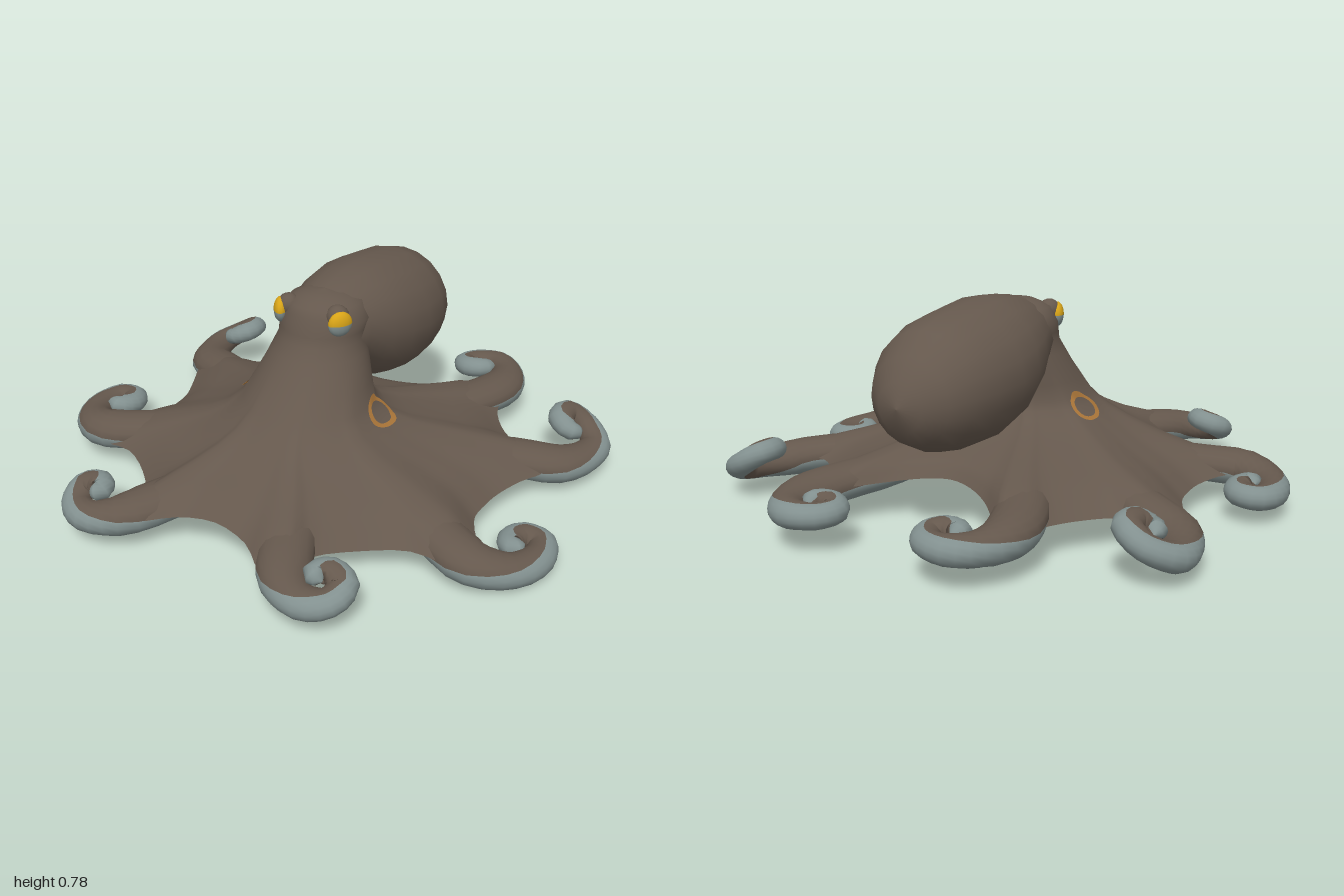
import * as THREE from 'three';

const mat = (name, color, side = THREE.FrontSide) => {
  const m = new THREE.MeshStandardMaterial({ color, side });
  m.name = name;
  return m;
};
const V = (x, y, z) => new THREE.Vector3(x, y, z);
const { lerp, smoothstep, clamp } = THREE.MathUtils;

// Skin over closed cross-sections; columns accepted by isSecond use the second material
function loft(rows, isSecond = () => false) {
  const n = rows[0].length, first = [], second = [];
  for (let i = 0; i < rows.length - 1; i++)
    for (let j = 0; j < n; j++) {
      const k = (j + 1) % n, a = i * n + j, b = i * n + k, c = a + n, d = b + n;
      (isSecond(j) ? second : first).push(a, b, d, a, d, c);
    }
  const g = new THREE.BufferGeometry().setFromPoints(rows.flat());
  g.setIndex([...first, ...second]);
  g.addGroup(0, first.length, 0);
  if (second.length) g.addGroup(first.length, second.length, 1);
  g.computeVertexNormals();
  return g;
}

// Web rim, from the front middle round the left side to the back middle, running out along each arm
const HALF = [
  [0, .145, .73], [.14, .13, .755], [.26, .12, .84], [.34, .12, .83], [.345, .11, .69], [.46, .1, .56],
  [.6, .1, .475], [.75, .09, .455], [.79, .1, .37], [.73, .1, .26], [.69, .09, .17], [.69, .09, .08],
  [.7, .09, 0], [.74, .1, -.1], [.79, .1, -.2], [.81, .11, -.3], [.72, .11, -.33], [.62, .11, -.335],
  [.53, .11, -.41], [.46, .115, -.53], [.45, .13, -.65], [.37, .135, -.68], [.29, .135, -.6],
  [.2, .14, -.5], [.1, .15, -.43], [0, .155, -.4],
];
const RIM = [...HALF, ...HALF.slice(1, -1).reverse().map(([x, y, z]) => [-x, y, z])];
const rim = new THREE.CatmullRomCurve3(RIM.map(p => V(...p)), true);

// Body levels from crown to rim: height, radius, centre z
const LEVELS = [
  [.74, 0, .04], [.73, .07, .04], [.705, .132, .035], [.65, .163, .03], [.58, .158, .055], [.49, .19, .09],
  [.37, .235, .15], [.315, .285, .16], [.275, .35, .15], [.23, .45, .12], [.183, .57, .1], [.12, .66, .1],
];

// Point on the body: u goes round the rim, v runs down the levels
function bodyPoint(u, v) {
  const i = Math.min(Math.floor(v), LEVELS.length - 2), f = v - i;
  const [y, r, cz] = LEVELS[i].map((a, k) => lerp(a, LEVELS[i + 1][k], f));
  const p = rim.getPoint(((u % 1) + 1) % 1);
  const dz = p.z - .1, len = Math.hypot(p.x, dz);
  const w = clamp((r - .2) / .46, 0, 1);
  const s = lerp(r / len, r / .66, w);
  return V(p.x * s, y + (p.y - .12) * w * w, cz + dz * s);
}

// Arm paths on the left side: x, height, z
const ARMS = {
  frontArm: [[.1, .15, .36], [.18, .135, .52], [.26, .12, .69], [.345, .105, .83], [.44, .1, .875], [.515, .11, .845],
    [.53, .14, .78], [.475, .16, .765], [.44, .16, .8], [.475, .15, .815]],
  sideArm: [[.32, .15, .2], [.5, .125, .28], [.67, .095, .36], [.79, .075, .395], [.9, .05, .33], [.945, .045, .22],
    [.925, .05, .14], [.86, .055, .135], [.835, .06, .19], [.86, .07, .235], [.89, .075, .205]],
  rearArm: [[.3, .15, -.03], [.48, .13, -.12], [.66, .11, -.23], [.8, .085, -.31], [.865, .08, -.42], [.875, .09, -.51],
    [.81, .13, -.57], [.74, .175, -.55], [.74, .175, -.48], [.79, .15, -.46], [.81, .145, -.505]],
  backArm: [[.17, .16, -.18], [.27, .145, -.36], [.36, .13, -.54], [.4, .12, -.7], [.37, .12, -.82], [.3, .125, -.88],
    [.22, .125, -.86], [.19, .13, -.8], [.23, .14, -.765], [.285, .145, -.78], [.28, .14, -.825]],
};
const THICKNESS = [[0, .05], [.12, .095], [.28, .093], [.4, .068], [.55, .053], [.8, .049], [.95, .038], [1, 0]];

function thicknessAt(t) {
  const i = Math.max(1, THICKNESS.findIndex(k => k[0] >= t));
  const [a, b] = [THICKNESS[i - 1], THICKNESS[i]];
  return lerp(a[1], b[1], (t - a[0]) / (b[0] - a[0]));
}

// Tapering curled arm; the sucker side rolls from below to the outside of the curl and over at the tip
function armGeometry(points, sign, lift) {
  const last = points.length - 1;
  const path = new THREE.CatmullRomCurve3(
    points.map(([x, y, z], i) => V(sign * x, y + lift * Math.min(1, i / 4), z)));
  const rows = [], N = 16, STEPS = last * 3;
  for (let i = 0; i <= STEPS; i++) {
    const t = i / STEPS, c = path.getPoint(t), T = path.getTangent(t);
    const right = T.clone().cross(V(0, 1, 0)).normalize();
    const up = right.clone().cross(T);
    const out = right.multiplyScalar(sign);
    const r = thicknessAt(t), flat = lerp(.6, .85, Math.min(1, t * 2));
    const roll = smoothstep(t, .2, .6) * 1.45 + smoothstep(t, .75, .95) * .9;
    rows.push(Array.from({ length: N }, (_, j) => {
      const a = roll - sign * (j * 2 * Math.PI / N - Math.PI / 2);
      return c.clone().addScaledVector(up, -Math.cos(a) * r * flat).addScaledVector(out, Math.sin(a) * r);
    }));
  }
  return loft(rows, j => j < N / 2);
}

export function createModel() {
  const skin = mat('brown skin', 0x65584d);
  const sucker = mat('grey underside', 0x82908f);
  const gold = mat('gold eye', 0xd8a418);
  const spot = mat('orange ring', 0xa87438, THREE.DoubleSide);
  const model = new THREE.Group();
  const add = (name, geometry, material) => {
    const m = new THREE.Mesh(geometry, material);
    m.name = name;
    model.add(m);
    return m;
  };

  // Head flowing down into the web
  const COLS = RIM.length * 3, top = LEVELS.length - 1;
  const ring = f => Array.from({ length: COLS }, (_, j) => f(j / COLS));
  const body = [];
  for (let i = top * 2; i >= 0; i--) body.push(ring(u => bodyPoint(u, i / 2)));
  add('headAndWeb', loft(body), skin);

  // Underside of the web
  const under = [0, .3, .6, .85, 1].map(s => ring(u => {
    const p = bodyPoint(u, top);
    return V(p.x * s, lerp(.155, p.y, s * s), lerp(.1, p.z, s));
  }));
  add('webUnderside', loft(under), skin);

  // Mantle sections: z, centre height, half height, half width
  const mantle = [
    [-.705, .475, 0, 0], [-.685, .475, .085, .085], [-.63, .485, .15, .155], [-.55, .5, .205, .205],
    [-.45, .507, .23, .237], [-.32, .515, .24, .25], [-.2, .535, .235, .24], [-.1, .56, .205, .215],
    [0, .59, .16, .175], [.1, .59, .13, .14], [.16, .6, .09, .09], [.18, .6, 0, 0],
  ].map(([z, y, h, w]) => Array.from({ length: 20 }, (_, j) => {
    const a = j / 20 * Math.PI * 2;
    return V(w * Math.cos(a), y + h * Math.sin(a), z);
  }));
  add('mantle', loft(mantle), skin);

  for (const [sign, label] of [[1, 'left'], [-1, 'right']]) {
    // Arms
    for (const [name, points] of Object.entries(ARMS))
      add(label + name[0].toUpperCase() + name.slice(1),
        armGeometry(points, sign, name === 'sideArm' && sign < 0 ? .04 : 0), [skin, sucker]);

    // Shallow eye in two halves, sunk into the head under a low brow
    for (const [part, start, material] of [['EyeTop', 0, gold], ['EyeBottom', Math.PI / 2, sucker]]) {
      const eye = add(label + part,
        new THREE.SphereGeometry(.046, 14, 6, 0, Math.PI * 2, start, Math.PI / 2), material);
      eye.position.set(sign * .124, .668, .137);
      eye.rotation.y = -sign * .55;
      eye.scale.x = .55;
    }
    add(label + 'Brow', new THREE.SphereGeometry(.042, 14, 10), skin).position.set(sign * .102, .684, .118);

    // Ring marking lying on the web
    const pts = [], index = [], M = 32;
    for (let i = 0; i <= M; i++) {
      const a = i / M * Math.PI * 2;
      for (const s of [1, .72]) {
        const u = (12.8 + 2.3 * s * Math.cos(a)) / RIM.length;
        const p = bodyPoint(u, 6.6 + .78 * s * Math.sin(a));
        pts.push(V(sign * (p.x + .005), p.y + .005, p.z));
      }
      if (i < M) index.push(2 * i, 2 * i + 1, 2 * i + 2, 2 * i + 1, 2 * i + 3, 2 * i + 2);
    }
    const g = new THREE.BufferGeometry().setFromPoints(pts);
    // Corner order is swapped on the mirrored side
    if (sign > 0) index.reverse();
    g.setIndex(index);
    g.computeVertexNormals();
    add(label + 'RingMarking', g, spot);
  }
  return model;
}
